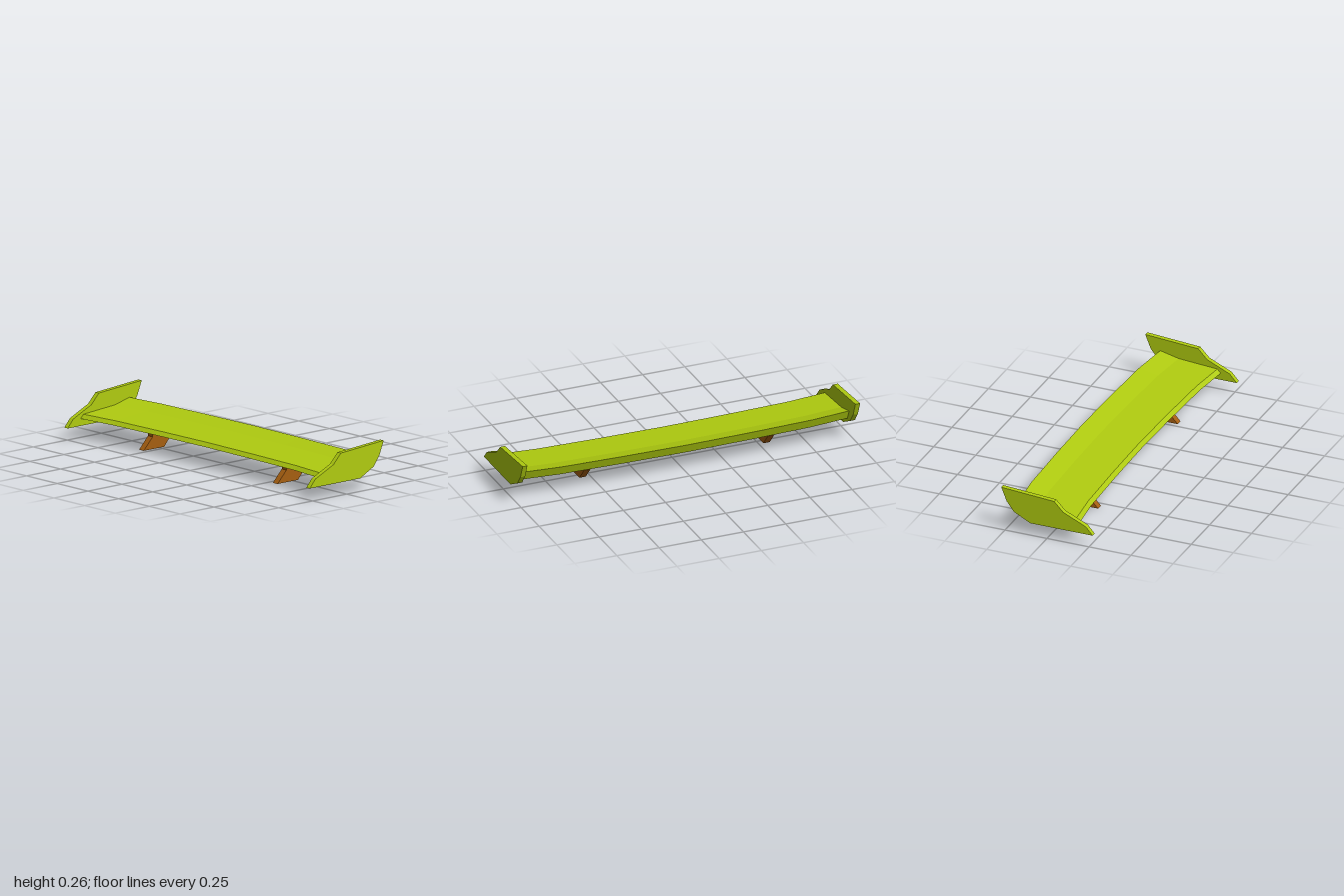
import * as THREE from 'three';

const green = new THREE.MeshStandardMaterial({ color: 0xb0cc10, flatShading: true });
const brown = new THREE.MeshStandardMaterial({ color: 0xa65f10, flatShading: true });

// Side outline in (z, y), extruded to a thickness centred on x
function sidePanel(outline, x, thickness, material, name) {
  const shape = new THREE.Shape(outline.map(([z, y]) => new THREE.Vector2(z, y)));
  const geo = new THREE.ExtrudeGeometry(shape, { depth: thickness, bevelEnabled: false });
  geo.translate(0, 0, -thickness / 2);
  geo.rotateY(-Math.PI / 2);
  geo.translate(x, 0, 0);
  const mesh = new THREE.Mesh(geo, material);
  mesh.name = name;
  return mesh;
}

// Wing blade: one section swept along the span, its ends curving forward
function wingBlade() {
  const section = [[0.135, 0.113], [0.115, 0.135], [-0.115, 0.152], [-0.225, 0.178], [-0.2, 0.122]];
  const half = [[0.375, 0.006], [0.74, 0.018], [0.974, 0.042]];
  const stations = [...half.map(([x, dz]) => [-x, dz]).reverse(), [0, 0], ...half];
  const n = section.length;
  const positions = [];
  const index = [];
  for (const [x, dz] of stations) {
    for (const [z, y] of section) positions.push(x, y, z + dz);
  }
  for (let s = 0; s < stations.length - 1; s++) {
    for (let i = 0; i < n; i++) {
      const a = s * n + i;
      const b = s * n + (i + 1) % n;
      index.push(a, a + n, b + n, a, b + n, b);
    }
  }
  // End caps
  const last = (stations.length - 1) * n;
  for (let i = 1; i < n - 1; i++) {
    index.push(0, i, i + 1, last, last + i + 1, last + i);
  }
  const geo = new THREE.BufferGeometry();
  geo.setAttribute('position', new THREE.Float32BufferAttribute(positions, 3));
  geo.setIndex(index);
  const flat = geo.toNonIndexed();
  flat.computeVertexNormals();
  const mesh = new THREE.Mesh(flat, green);
  mesh.name = 'wingBlade';
  return mesh;
}

export function createModel() {
  const group = new THREE.Group();
  group.name = 'rearWing';
  group.add(wingBlade());

  const plate = [
    [0.272, 0.073], [-0.1, 0.073], [-0.198, 0.124], [-0.24, 0.18],
    [-0.272, 0.259], [0.043, 0.236], [0.097, 0.18], [0.23, 0.12],
  ];
  const strut = [
    [0.115, 0], [-0.035, 0], [-0.1, 0.073], [-0.1, 0.12], [0.05, 0.12], [0.05, 0.068],
  ];
  // Mirrored end plates and support struts
  for (const [side, label] of [[1, 'left'], [-1, 'right']]) {
    group.add(sidePanel(plate, side * 0.986, 0.028, green, label + 'EndPlate'));
    group.add(sidePanel(strut, side * 0.545, 0.038, brown, label + 'Strut'));
  }
  return group;
}
